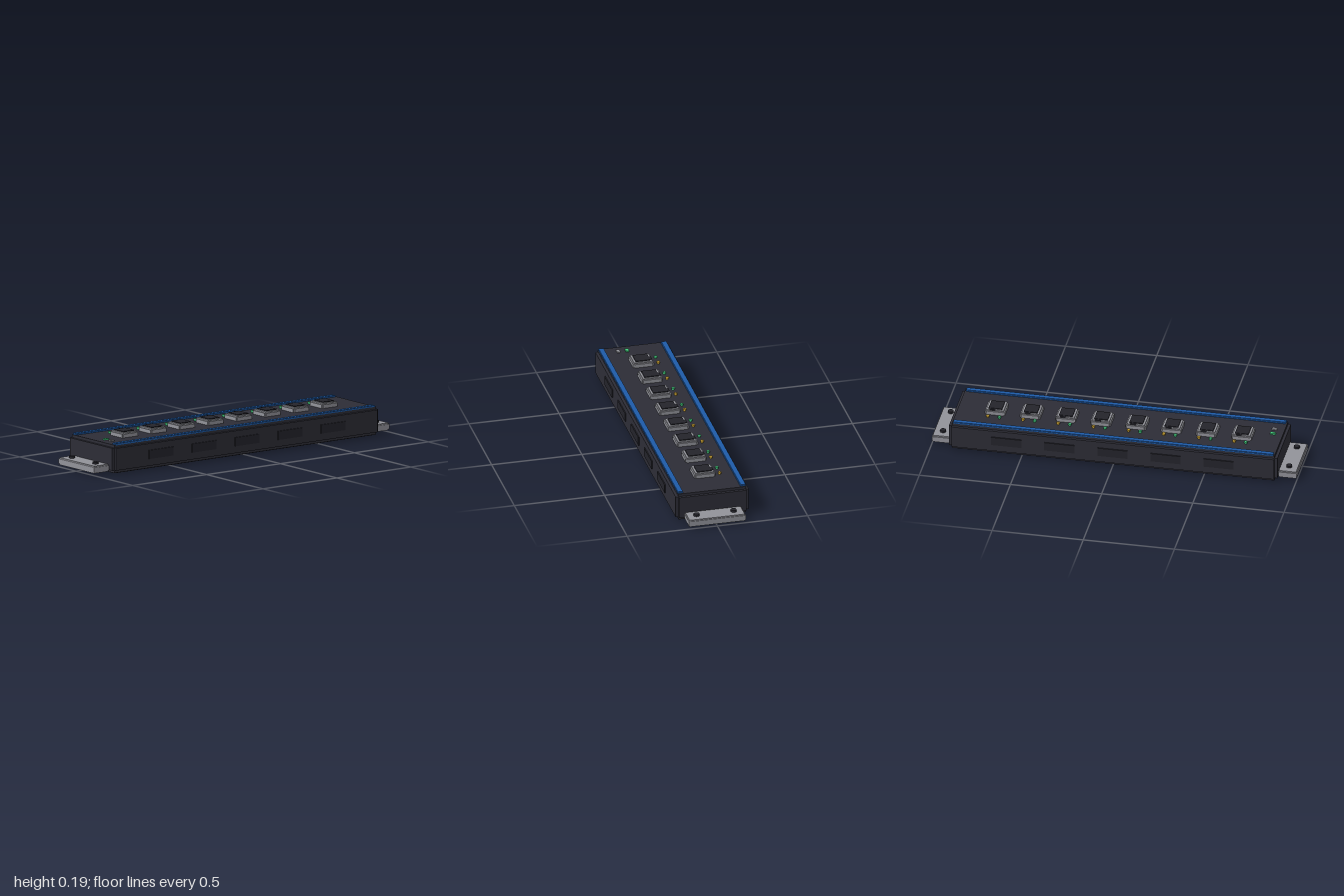
import * as THREE from 'three';

export function createModel() {
  const model = new THREE.Group();
  model.name = 'networkSwitch';

  const paint = (name, color) => {
    const m = new THREE.MeshStandardMaterial({ color });
    m.name = name;
    return m;
  };
  const charcoal = paint('charcoal', 0x2d2d36);
  const darkTrim = paint('darkTrim', 0x24242b);
  const metal = paint('greyMetal', 0x92939a);
  const blue = paint('blue', 0x1e5ba8);
  const green = paint('greenLight', 0x45d080);
  const amber = paint('amberLight', 0xd6ab35);

  const add = (parent, name, geometry, material, x, y, z) => {
    const mesh = new THREE.Mesh(geometry, material);
    mesh.name = name;
    mesh.position.set(x, y, z);
    parent.add(mesh);
    return mesh;
  };
  const box = (parent, name, w, h, d, material, x, y, z) =>
    add(parent, name, new THREE.BoxGeometry(w, h, d), material, x, y, z);
  const cylinder = (parent, name, r, h, material, x, y, z, sides = 12) =>
    add(parent, name, new THREE.CylinderGeometry(r, r, h, sides), material, x, y, z);

  // Block with stepped edges: three crossing boxes, each full length on one axis
  const steppedBlock = (parent, name, w, h, d, step, material, x, y, z) => {
    const group = new THREE.Group();
    group.name = name;
    group.position.set(x, y, z);
    const s = step * 2;
    box(group, name + 'Ends', w, h - s, d - s, material, 0, 0, 0);
    box(group, name + 'TopBottom', w - s, h, d - s, material, 0, 0, 0);
    box(group, name + 'FrontBack', w - s, h - s, d, material, 0, 0, 0);
    parent.add(group);
    return group;
  };

  // Housing and base plate
  steppedBlock(model, 'housing', 1.8, 0.153, 0.404, 0.0155, charcoal, 0, 0.0815, 0);
  box(model, 'basePlate', 1.74, 0.006, 0.34, charcoal, 0, 0.003, 0);

  for (const side of [-1, 1]) {
    // Blue strips along the top edges
    steppedBlock(model, 'blueStrip', 1.755, 0.012, 0.031, 0.003, blue, 0, 0.161, side * 0.174);

    // Raised panels along the front and back
    for (let i = -2; i <= 2; i++) {
      box(model, 'sidePanel', 0.165, 0.048, 0.012, darkTrim, i * 0.291, 0.083, side * 0.202);
    }

    // Mounting ears with two screws each
    const ear = new THREE.Group();
    ear.name = 'mountingEar';
    ear.position.x = side * 0.949;
    model.add(ear);
    box(ear, 'earPlate', 0.102, 0.026, 0.316, metal, 0, 0.031, 0);
    box(ear, 'earCore', 0.094, 0.04, 0.306, metal, 0, 0.031, 0);
    for (const z of [-0.103, 0.103]) {
      cylinder(ear, 'earScrew', 0.016, 0.012, darkTrim, 0, 0.056, z, 16);
    }
  }

  // Small indicator: thin stem with a wider cap
  const indicator = (name, material, x, z) => {
    cylinder(model, name + 'Stem', 0.006, 0.016, material, x, 0.163, z, 10);
    cylinder(model, name + 'Cap', 0.0095, 0.007, material, x, 0.167, z, 10);
  };

  // Row of eight sockets, each with a pair of indicators behind it
  for (let i = 0; i < 8; i++) {
    const x = (i - 3.5) * 0.193;
    steppedBlock(model, 'socketFrame', 0.11, 0.036, 0.116, 0.007, metal, x, 0.167, 0);
    box(model, 'socketInsert', 0.074, 0.01, 0.08, darkTrim, x, 0.185, 0);
    box(model, 'socketLatch', 0.032, 0.008, 0.018, darkTrim, x + 0.014, 0.184, -0.043);
    indicator('linkLight', green, x - 0.032, -0.087);
    indicator('activityLight', amber, x + 0.032, -0.086);
  }

  // Status lights at the right-hand end
  for (const [name, material, z] of [['powerLight', green, 0.041], ['statusLight', metal, 0.09]]) {
    box(model, name, 0.03, 0.008, 0.013, material, -0.83, 0.161, z);
    box(model, name + 'Cap', 0.022, 0.007, 0.019, material, -0.83, 0.1625, z);
  }

  return model;
}
